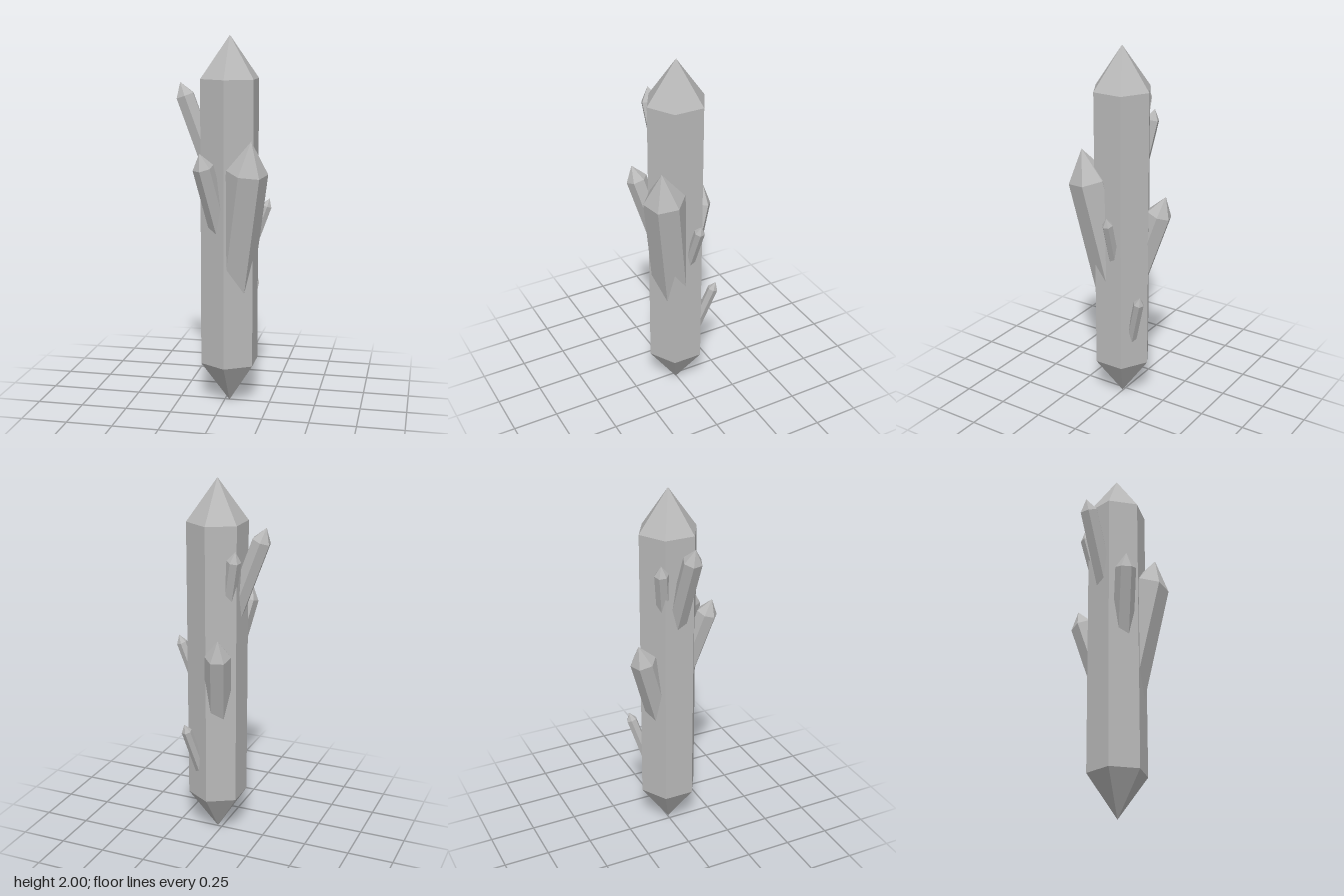
import * as THREE from 'three';

const stone = new THREE.MeshStandardMaterial({ color: 0xb9b9b9 });
stone.name = 'grey crystal';

// Six-sided lathe with hard facets; roll is the azimuth of one edge, in degrees from +x towards +z
function hexCrystal(name, profile, roll) {
  const points = profile.map(([r, y]) => new THREE.Vector2(r, y));
  const geometry = new THREE.LatheGeometry(points, 6, THREE.MathUtils.degToRad(90 - roll)).toNonIndexed();
  geometry.computeVertexNormals();
  const mesh = new THREE.Mesh(geometry, stone);
  mesh.name = name;
  return mesh;
}

const AXIS = { x: 0.026, z: 0.004 };

// Side shards: shoulder centre, growth direction, radius, tip height, edge azimuth
const SHARDS = [
  { name: 'largeFrontShard', at: [0.145, 1.3, 0.135], dir: [0.15, 1, 0.16], r: 0.11, tip: 0.17, roll: 45 },
  { name: 'frontShard', at: [-0.08, 1.325, 0.18], dir: [-0.2, 1, 0.27], r: 0.056, tip: 0.08, roll: 40 },
  { name: 'upperSideShard', at: [-0.21, 1.685, 0.027], dir: [-0.36, 1, 0.045], r: 0.053, tip: 0.075, roll: 19 },
  { name: 'upperBackShard', at: [-0.108, 1.595, -0.096], dir: [-0.2, 1, -0.15], r: 0.038, tip: 0.057, roll: 42 },
  { name: 'backShard', at: [-0.053, 1.1, -0.179], dir: [-0.13, 1, -0.31], r: 0.07, tip: 0.105, roll: 41 },
  { name: 'lowerBackShard', at: [0.135, 0.643, -0.17], dir: [0.19, 1, -0.3], r: 0.029, tip: 0.044, roll: 22 },
  { name: 'smallSideShard', at: [0.222, 1.098, -0.031], dir: [0.36, 1, -0.06], r: 0.029, tip: 0.044, roll: 18 },
];

export function createModel() {
  const model = new THREE.Group();
  model.name = 'crystalCluster';

  // Tall main crystal, pointed at both ends
  const main = hexCrystal('mainCrystal', [[0, 0], [0.163, 0.23], [0.163, 1.775], [0, 2]], 90);
  main.position.set(AXIS.x, 0, AXIS.z);
  model.add(main);

  // Shards grow out from the axis of the main crystal
  for (const { name, at, dir, r, tip, roll } of SHARDS) {
    const direction = new THREE.Vector3(...dir).normalize();
    const reach = Math.hypot(at[0] - AXIS.x, at[2] - AXIS.z);
    const length = 0.95 * reach / Math.hypot(direction.x, direction.z);
    const shard = hexCrystal(name, [[0, 0], [r, 0], [r, length], [0, length + tip]], roll);
    shard.quaternion.setFromUnitVectors(new THREE.Vector3(0, 1, 0), direction);
    shard.position.set(...at).addScaledVector(direction, -length);
    model.add(shard);
  }
  return model;
}
